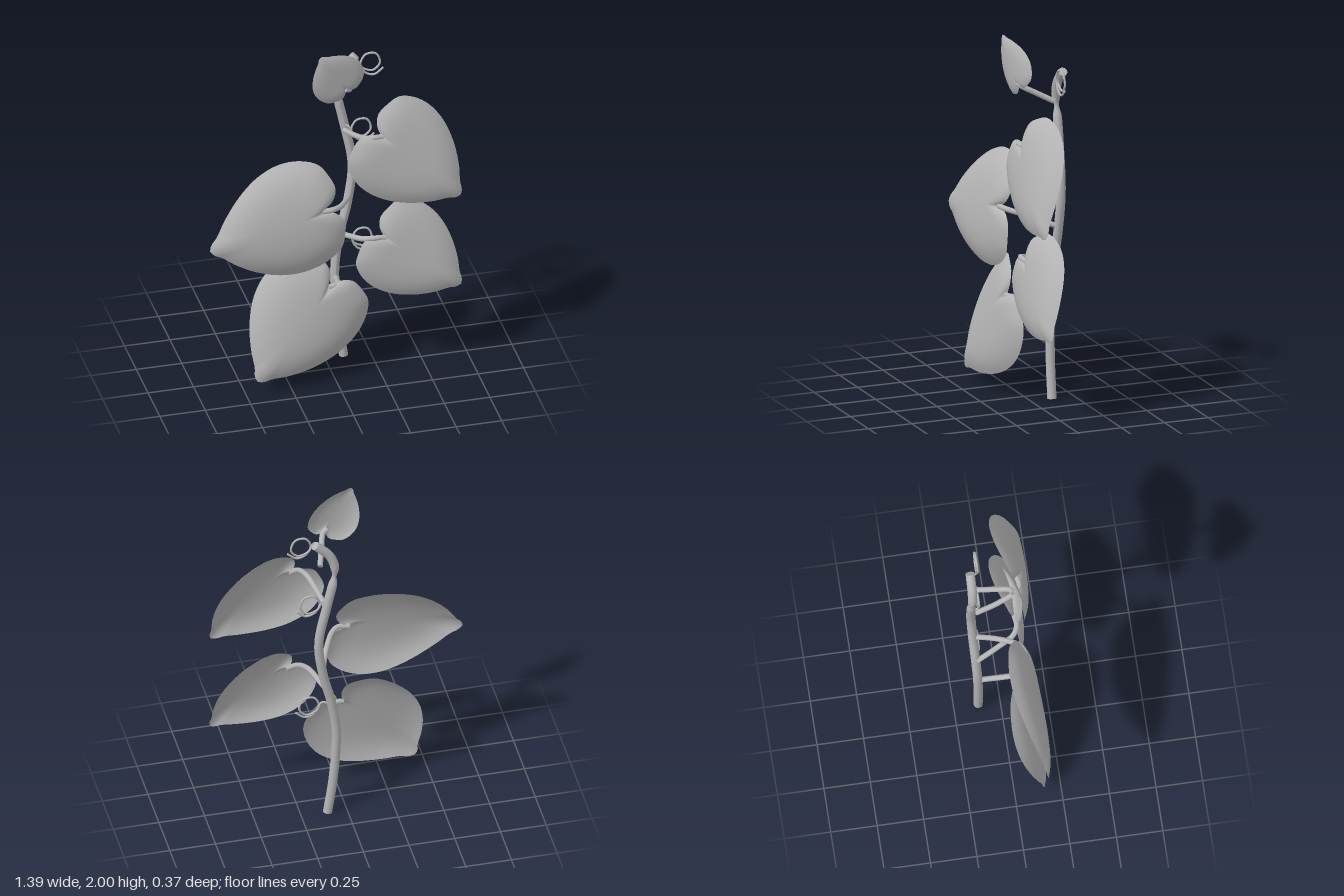
import * as THREE from 'three';

const grey = new THREE.MeshStandardMaterial({ color: 0xb4b4b4, side: THREE.DoubleSide });
grey.name = 'plain grey';

const V = (p) => new THREE.Vector3(...p);

function mesh(geometry, name) {
  const m = new THREE.Mesh(geometry, grey);
  m.name = name;
  return m;
}

// Round tube along points, closed with a flat disc at each end
function tube(name, points, radius, segments, pinchY) {
  const group = new THREE.Group();
  group.name = name;
  const curve = new THREE.CatmullRomCurve3(points.map(V));
  const geo = new THREE.TubeGeometry(curve, segments, radius, 12);
  if (pinchY) {
    // narrow the tube around one height
    const pos = geo.attributes.position;
    const p = new THREE.Vector3();
    for (let i = 0; i < pos.count; i++) {
      const c = curve.getPointAt(Math.floor(i / 13) / segments);
      const s = 1 - 0.5 * Math.exp(-(((c.y - pinchY) / 0.035) ** 2));
      p.fromBufferAttribute(pos, i).sub(c).multiplyScalar(s).add(c);
      pos.setXYZ(i, p.x, p.y, p.z);
    }
    geo.computeVertexNormals();
  }
  group.add(mesh(geo, name + 'Tube'));
  for (const [t, sign] of [[0, -1], [1, 1]]) {
    const cap = mesh(new THREE.CircleGeometry(radius, 12), name + 'End');
    cap.position.copy(curve.getPointAt(t));
    const dir = curve.getTangentAt(t).multiplyScalar(sign);
    cap.quaternion.setFromUnitVectors(new THREE.Vector3(0, 0, 1), dir);
    group.add(cap);
  }
  return group;
}

// Heart outline: u runs from the notch (0) to the tip (1), v is the half width
const half = new THREE.CatmullRomCurve3([
  [0, 0], [-0.1, 0.055], [-0.155, 0.15], [-0.13, 0.28], [-0.075, 0.39], [0.07, 0.47], [0.25, 0.495],
  [0.45, 0.455], [0.65, 0.35], [0.82, 0.21], [0.93, 0.09], [0.985, 0.05], [1.01, 0],
].map(([u, v]) => new THREE.Vector3(u, v, 0))).getSpacedPoints(48);
const outline = [
  ...half,
  ...half.slice(1, -1).reverse().map((p) => new THREE.Vector3(p.x, -p.y, 0)),
];

// Domed heart blade; the plane slopes by (sx, sy) so that z falls with x and y
function leaf(name, notch, tip, sx, sy, width = 1) {
  const dx = tip[0] - notch[0], dy = tip[1] - notch[1];
  const eu = new THREE.Vector3(dx, dy, -sx * dx - sy * dy);
  const size = eu.length();
  eu.normalize();
  const en = new THREE.Vector3(sx, sy, 1).normalize();
  const ev = new THREE.Vector3().crossVectors(en, eu);
  const origin = V(notch);
  const rings = 14, n = outline.length, pos = [], index = [];
  const push = (u, v, r) => {
    const w = 0.065 - 0.065 * r ** 5 - 0.34 * v * v;
    const p = origin.clone().addScaledVector(eu, u * size)
      .addScaledVector(ev, v * size * width).addScaledVector(en, w * size);
    pos.push(p.x, p.y, p.z);
  };
  push(0.3, 0, 0);
  for (let k = 1; k <= rings; k++) {
    const r = k / rings;
    for (const o of outline) push(0.3 + (o.x - 0.3) * r, o.y * r, r);
  }
  // the outline runs clockwise seen from the front
  for (let i = 0; i < n; i++) {
    const j = (i + 1) % n;
    index.push(0, 1 + j, 1 + i);
    for (let k = 0; k < rings - 1; k++) {
      const a = 1 + k * n + i, b = 1 + k * n + j;
      index.push(a, b, a + n, b, b + n, a + n);
    }
  }
  const geo = new THREE.BufferGeometry();
  geo.setAttribute('position', new THREE.Float32BufferAttribute(pos, 3));
  geo.setIndex(index);
  geo.computeVertexNormals();
  return mesh(geo, name);
}

// Curled tendril: short lead from the stem, then a loop and a loose end
const curl = [
  [-0.07, 0.015], [-0.04, -0.037], [0.016, -0.056], [0.053, -0.016], [0.03, 0.046],
  [-0.026, 0.048], [-0.055, -0.005], [-0.028, -0.062], [0.02, -0.078], [0.07, -0.042],
];
function tendril(name, start, x, y) {
  const pts = curl.map(([a, b], i) => [x + a, y + b, -0.115 + i * 0.0015]);
  return tube(name, [start, ...pts], 0.006, 90);
}

export function createModel() {
  const plant = new THREE.Group();
  plant.name = 'climbingPlant';

  plant.add(tube('stem', [
    [0.105, 0.006, -0.118], [0.075, 0.23, -0.121], [0.06, 0.55, -0.128], [0.09, 0.76, -0.135],
    [0.135, 0.95, -0.142], [0.16, 1.17, -0.148], [0.115, 1.43, -0.155], [0.08, 1.6, -0.157],
    [0.075, 1.68, -0.153], [0.105, 1.76, -0.15], [0.18, 1.835, -0.15],
  ], 0.025, 120, 1.62));

  // Leaves: notch, tip, slope
  plant.add(leaf('topLeaf', [0.07, 1.765, 0.06], [-0.075, 1.995], 0.15, -0.04, 1.1));
  plant.add(leaf('upperLeftLeaf', [0.255, 1.47, 0.105], [0.675, 1.075], 0.1, 0.23));
  plant.add(leaf('rightLeaf', [-0.065, 1.05, 0.105], [-0.69, 0.92], 0.02, 0.2));
  plant.add(leaf('lowerLeftLeaf', [0.275, 0.835, 0.095], [0.685, 0.505], 0.1, 0.22));
  plant.add(leaf('lowerRightLeaf', [-0.03, 0.565, 0.085], [-0.435, 0.085], -0.03, 0.18));

  // Leaf stalks reach forward from the stem, then bend into the notch
  const stalks = {
    topStalk: [[0.145, 1.665, -0.115], [0.115, 1.715, -0.02], [0.09, 1.752, 0.05], [0.065, 1.765, 0.065]],
    upperLeftStalk: [[0.115, 1.39, -0.13], [0.14, 1.425, -0.01], [0.175, 1.46, 0.09], [0.21, 1.474, 0.118], [0.26, 1.47, 0.112]],
    rightStalk: [[0.135, 0.97, -0.13], [0.085, 1.02, -0.01], [0.03, 1.05, 0.085], [-0.01, 1.057, 0.112], [-0.07, 1.052, 0.112]],
    lowerLeftStalk: [[0.07, 0.765, -0.13], [0.12, 0.8, -0.01], [0.165, 0.83, 0.08], [0.21, 0.842, 0.105], [0.28, 0.835, 0.1]],
    lowerRightStalk: [[0.06, 0.495, -0.12], [0.045, 0.53, -0.01], [0.03, 0.56, 0.06], [0.01, 0.57, 0.085], [-0.03, 0.567, 0.092]],
  };
  for (const [name, points] of Object.entries(stalks)) plant.add(tube(name, points, 0.015, 32));

  plant.add(tendril('topTendril', [0.165, 1.84, -0.14], 0.25, 1.81));
  plant.add(tendril('middleTendril', [0.12, 1.41, -0.14], 0.2, 1.41));
  plant.add(tendril('lowerTendril', [0.08, 0.73, -0.13], 0.205, 0.73));
  return plant;
}
